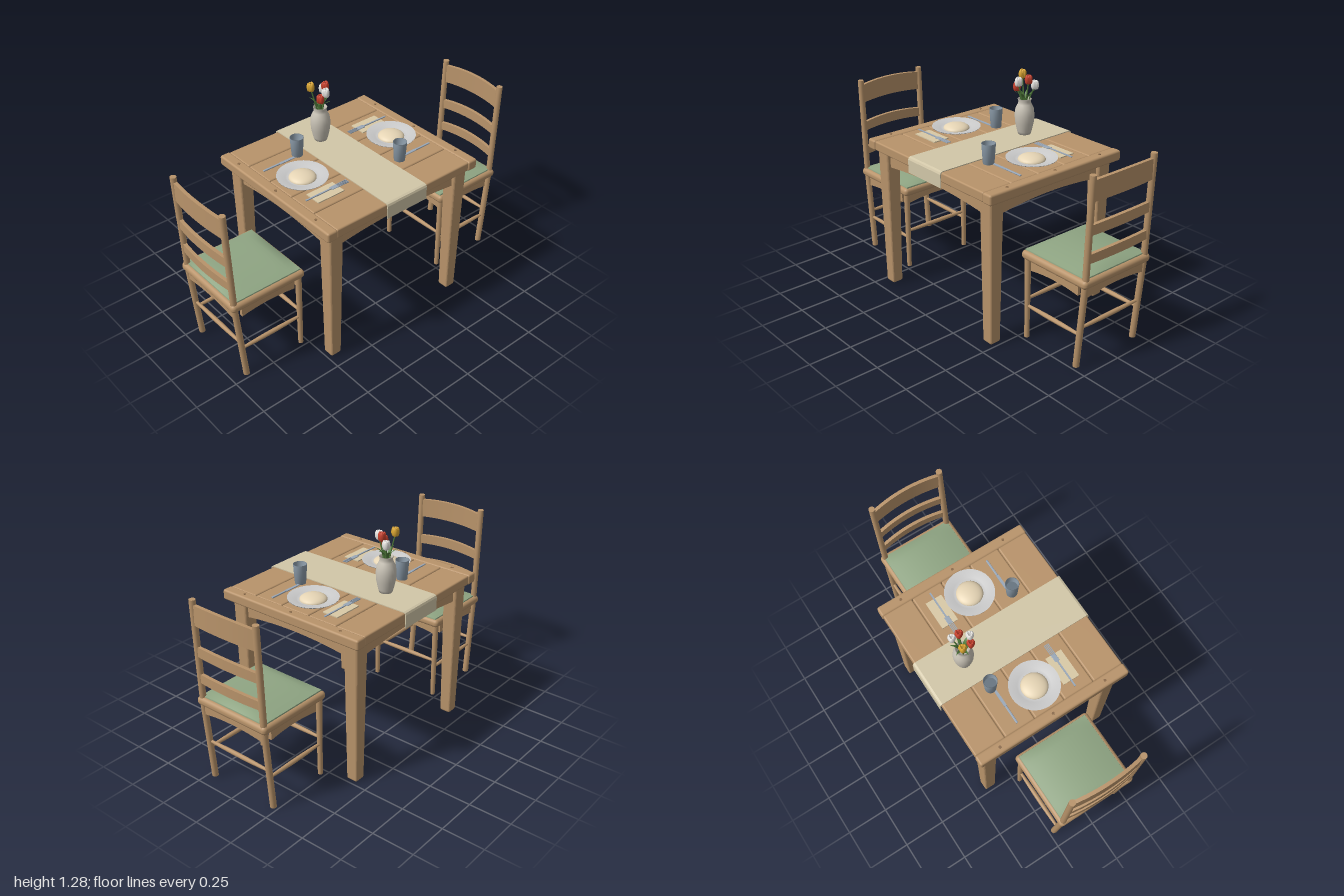
import * as THREE from 'three';
import { RoundedBoxGeometry } from 'three/addons/geometries/RoundedBoxGeometry.js';

const mat = (color, side = THREE.FrontSide) => new THREE.MeshStandardMaterial({ color, side });
const WOOD = mat(0xb8936a), DARK = mat(0x8a6a4a), GREEN = mat(0x8fa583), LINEN = mat(0xd2c7a8);
const NAPKIN = mat(0xd9c9a6), WHITE = mat(0xf0f0ee), CLAY = mat(0xc9c3b6), FOOD = mat(0xe6d5b5);
const STEEL = mat(0x9aa8b8), GLASS = mat(0x8d9dab, THREE.DoubleSide), WATER = mat(0x667480);
const STEM = mat(0x4f7a3a), LEAF = mat(0x4f7a3a, THREE.DoubleSide);
const RED = mat(0xc8402c), YELLOW = mat(0xdba632), PETAL = mat(0xe8e6e2);

function add(parent, name, geo, material, x = 0, y = 0, z = 0) {
  const m = new THREE.Mesh(geo, material);
  m.name = name;
  m.position.set(x, y, z);
  parent.add(m);
  return m;
}

// Move every vertex by a rule
function warp(geo, rule) {
  const p = geo.attributes.position, v = new THREE.Vector3();
  for (let i = 0; i < p.count; i++) {
    v.fromBufferAttribute(p, i);
    rule(v);
    p.setXYZ(i, v.x, v.y, v.z);
  }
  geo.computeVertexNormals();
  return geo;
}

// Board along x from y0 to y1, arched at its bottom and top and bowed toward +z
function archBoard(len, y0, y1, thick, archBottom, archTop = 0, bow = 0) {
  const geo = new THREE.BoxGeometry(len, 1, thick, 16, 1, 1);
  return warp(geo, v => {
    const t = 1 - (2 * v.x / len) ** 2;
    v.y = v.y < 0 ? y0 + archBottom * t : y1 + archTop * t;
    v.z += bow * t;
  });
}

const lathe = (pts, n = 28) => new THREE.LatheGeometry(pts.map(p => new THREE.Vector2(...p)), n);

function createTable() {
  const g = new THREE.Group();
  g.name = 'table';
  // Planks between two end boards with pegs
  for (let i = 0; i < 5; i++)
    add(g, 'plank', new RoundedBoxGeometry(0.94, 0.056, 0.185, 3, 0.009), WOOD, 0, 0.876, (i - 2) * 0.188);
  for (const s of [-1, 1]) {
    add(g, 'endBoard', new RoundedBoxGeometry(0.064, 0.06, 0.946, 3, 0.012), WOOD, s * 0.499, 0.876, 0);
    for (const z of [-0.335, 0, 0.335])
      add(g, 'peg', new THREE.CylinderGeometry(0.008, 0.008, 0.006, 12), DARK, s * 0.499, 0.905, z);
    // Arched aprons
    add(g, 'longApron', archBoard(0.82, 0.75, 0.85, 0.03, 0.027), WOOD, 0, 0, s * 0.4);
    add(g, 'sideApron', archBoard(0.72, 0.75, 0.85, 0.03, 0.027), WOOD, s * 0.455, 0, 0).rotation.y = Math.PI / 2;
    // Tapered legs
    for (const t of [-1, 1]) {
      const leg = warp(new RoundedBoxGeometry(0.092, 0.85, 0.092, 3, 0.014), v => {
        const k = 0.87 + 0.26 * v.y / 0.85;
        v.x *= k;
        v.z *= k;
      });
      add(g, 'tableLeg', leg, WOOD, s * 0.445, 0.425, t * 0.391);
    }
  }
  // Runner draped over both edges
  const sh = new THREE.Shape();
  const drape = (h, top, r) => [[-h, 0.82], [-h, top - r], [-h + r * 0.3, top - r * 0.3], [-h + r, top],
    [h - r, top], [h - r * 0.3, top - r * 0.3], [h, top - r], [h, 0.82]];
  sh.setFromPoints([...drape(0.479, 0.912, 0.016), ...drape(0.474, 0.907, 0.012).reverse()]
    .map(p => new THREE.Vector2(...p)));
  const runner = new THREE.ExtrudeGeometry(sh, { depth: 0.28, bevelEnabled: false });
  add(g, 'tableRunner', runner.rotateY(Math.PI / 2), LINEN, -0.14, 0, 0);
  return g;
}

// Chair at +x, facing the table
function createChair() {
  const g = new THREE.Group();
  g.name = 'chair';
  const backX = y => y < 0.5 ? 0.908 + 0.084 * y : 0.95 + 0.033 * (y - 0.5);
  add(g, 'seat', new RoundedBoxGeometry(0.47, 0.05, 0.49, 4, 0.022), WOOD, 0.74, 0.5, 0);
  // Domed cushion
  const cushion = warp(new THREE.BoxGeometry(0.43, 0.03, 0.445, 14, 2, 14), v => {
    const u = v.x / 0.215, w = v.z / 0.2225;
    if (v.y > 0.01) v.y += 0.024 * (1 - u ** 8) * (1 - w * w) - 0.004;
    else if (v.y > -0.01) { v.x *= 1.015; v.z *= 1.015; }
  });
  add(g, 'cushion', cushion, GREEN, 0.737, 0.52, 0);

  for (const s of [-1, 1]) {
    add(g, 'frontLeg', new THREE.CylinderGeometry(0.018, 0.014, 0.48, 14), WOOD, 0.535, 0.24, s * 0.217);
    // Rear leg continues up as the back post
    const post = warp(new THREE.CylinderGeometry(0.018, 0.018, 1.09, 14, 24), v => {
      v.y += 0.545;
      v.x += backX(v.y);
    });
    add(g, 'backPost', post, WOOD, 0, 0, s * 0.217);
    add(g, 'sideApron', archBoard(0.34, 0.42, 0.478, 0.02, 0.015), WOOD, 0.74, 0, s * 0.217);
    add(g, 'sideStretcher', spindle(0.38), WOOD, 0.73, 0.195, s * 0.217).rotation.z = Math.PI / 2;
  }
  for (const x of [0.54, backX(0.45)])
    add(g, 'crossApron', archBoard(0.42, 0.42, 0.478, 0.02, 0.018), WOOD, x, 0, 0).rotation.y = Math.PI / 2;
  for (const x of [0.535, backX(0.237)])
    add(g, 'crossStretcher', spindle(0.42), WOOD, x, 0.237, 0).rotation.x = Math.PI / 2;
  // Bowed ladder-back slats
  for (const [y0, y1] of [[0.615, 0.665], [0.77, 0.825], [0.95, 1.062]])
    add(g, 'backSlat', archBoard(0.42, y0, y1, 0.02, 0.008, 0.012, 0.02), WOOD, backX(y0) + 0.002, 0, 0)
      .rotation.y = Math.PI / 2;
  return g;
}

// Round bar that swells in the middle
function spindle(len) {
  return warp(new THREE.CylinderGeometry(1, 1, len, 12, 12), v => {
    const r = 0.008 + 0.005 * (1 - (2 * v.y / len) ** 2);
    v.x *= r;
    v.z *= r;
  });
}

// Setting for the diner at -x
function createPlaceSetting() {
  const g = new THREE.Group();
  g.name = 'placeSetting';
  add(g, 'plate', lathe([[0, 0.906], [0.08, 0.906], [0.095, 0.912], [0.14, 0.924], [0.141, 0.928],
    [0.092, 0.918], [0.08, 0.913], [0, 0.913]], 36), WHITE, -0.32, 0, 0);
  const bread = add(g, 'breadRoll', new THREE.SphereGeometry(0.076, 28, 10, 0, 2 * Math.PI, 0, Math.PI / 2),
    FOOD, -0.32, 0.912, 0);
  bread.scale.y = 0.4;
  // Tumbler with drink
  add(g, 'tumbler', lathe([[0, 0.906], [0.031, 0.906], [0.039, 1.02], [0.036, 1.02], [0.029, 0.915], [0, 0.915]]),
    GLASS, -0.2, 0, -0.2);
  add(g, 'drink', new THREE.CylinderGeometry(0.033, 0.028, 0.06, 24), WATER, -0.2, 0.946, -0.2);
  // Napkin, fork and knife
  add(g, 'napkin', new THREE.BoxGeometry(0.175, 0.006, 0.1), NAPKIN, -0.313, 0.908, 0.185);
  const fork = new THREE.Group();
  fork.name = 'fork';
  fork.position.set(-0.3, 0.914, 0.182);
  add(fork, 'handle', new THREE.BoxGeometry(0.17, 0.005, 0.009), STEEL, -0.055);
  add(fork, 'head', new RoundedBoxGeometry(0.045, 0.005, 0.028, 2, 0.0024), STEEL, 0.05);
  for (let i = 0; i < 4; i++)
    add(fork, 'tine', new THREE.BoxGeometry(0.07, 0.004, 0.004), STEEL, 0.105, 0, (i - 1.5) * 0.008);
  g.add(fork);
  const knife = new THREE.Group();
  knife.name = 'knife';
  knife.position.set(-0.32, 0.908, -0.188);
  add(knife, 'handle', new RoundedBoxGeometry(0.11, 0.008, 0.012, 2, 0.003), STEEL, -0.065);
  const blade = warp(new THREE.BoxGeometry(0.13, 0.004, 0.016, 8), v => {
    if (v.z > 0) v.z *= 1 - Math.max(0, v.x / 0.065) ** 3;
  });
  add(knife, 'blade', blade, STEEL, 0.055);
  g.add(knife);
  return g;
}

function createBouquet() {
  const g = new THREE.Group();
  g.name = 'vaseWithFlowers';
  g.position.z = -0.24;
  add(g, 'vase', lathe([[0, 0.91], [0.036, 0.91], [0.042, 0.93], [0.053, 0.98], [0.057, 1.025], [0.052, 1.065],
    [0.039, 1.09], [0.035, 1.105], [0.04, 1.119], [0.037, 1.122], [0.03, 1.105], [0.03, 1.06], [0, 1.05]], 24), CLAY);
  // Head centre and colour of each tulip
  const tulips = [[-0.045, 1.25, -0.022, YELLOW], [0.035, 1.24, 0.005, RED], [-0.026, 1.193, 0.037, RED],
    [0.002, 1.228, 0.05, PETAL], [0.047, 1.205, -0.032, PETAL]];
  for (const [x, y, z, color] of tulips) {
    const curve = new THREE.QuadraticBezierCurve3(new THREE.Vector3(x * 0.2, 1.05, z * 0.2),
      new THREE.Vector3(x * 0.5, 1.15, z * 0.5), new THREE.Vector3(x, y - 0.018, z));
    add(g, 'stem', new THREE.TubeGeometry(curve, 10, 0.004, 6), STEM);
    const head = new THREE.Group();
    head.name = 'tulip';
    head.position.set(x, y, z);
    for (let i = 0; i < 6; i++) {
      const a = i * Math.PI / 3, r = i % 2 ? 0.011 : 0.014;
      const petal = add(head, 'petal', new THREE.SphereGeometry(1, 10, 8), color, Math.sin(a) * r, 0, Math.cos(a) * r);
      petal.scale.set(0.014, 0.026, 0.009);
      petal.rotation.y = a;
    }
    g.add(head);
  }
  // Arching leaves
  for (let i = 0; i < 6; i++) {
    const leaf = warp(new THREE.PlaneGeometry(1, 1, 2, 8), v => {
      const t = v.y + 0.5;
      v.set(v.x * 0.018 * Math.sin(Math.PI * (0.15 + 0.85 * t)), 1.08 + 0.15 * t - 0.065 * t * t, 0.01 + 0.055 * t * t);
    });
    add(g, 'leaf', leaf, LEAF).rotation.y = i * Math.PI / 3 + 0.5;
  }
  return g;
}

export function createModel() {
  const model = new THREE.Group();
  model.name = 'diningSet';
  model.add(createTable(), createBouquet());
  for (const turn of [0, Math.PI]) {
    const side = new THREE.Group();
    side.name = turn ? 'rightSide' : 'leftSide';
    const chair = createChair(), setting = createPlaceSetting();
    setting.rotation.y = Math.PI;
    side.add(chair, setting);
    side.rotation.y = turn;
    model.add(side);
  }
  return model;
}
